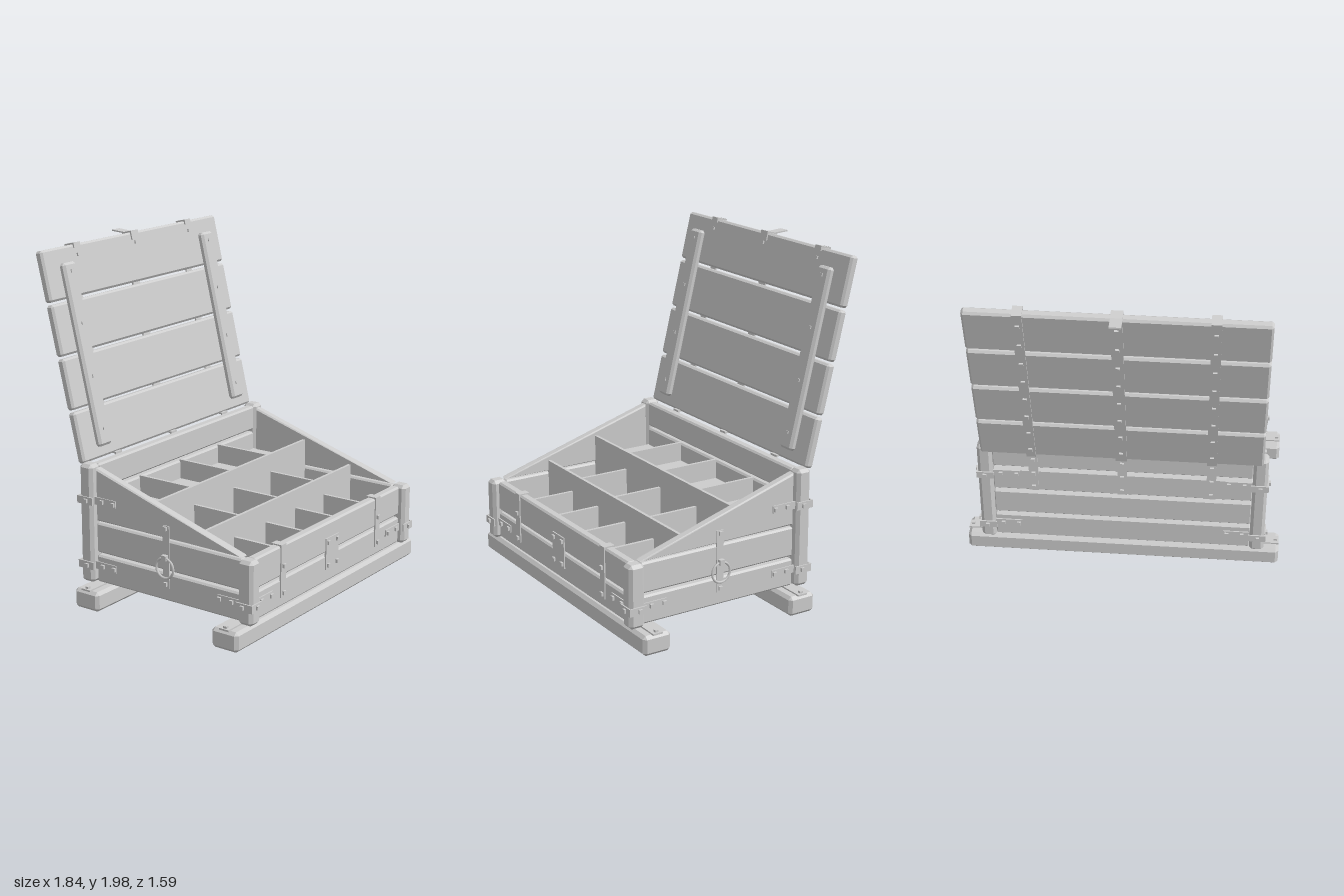
import * as THREE from 'three';
import { ConvexGeometry } from 'three/addons/geometries/ConvexGeometry.js';

const grey = new THREE.MeshStandardMaterial({ color: 0xcccccc });
grey.name = 'plain grey';

function add(parent, name, geometry) {
  const mesh = new THREE.Mesh(geometry, grey);
  mesh.name = name;
  parent.add(mesh);
  return mesh;
}

// Plain box given by its min and max on each axis
function box(parent, name, [x0, x1], [y0, y1], [z0, z1]) {
  const g = new THREE.BoxGeometry(Math.abs(x1 - x0), Math.abs(y1 - y0), Math.abs(z1 - z0));
  return add(parent, name, g.translate((x0 + x1) / 2, (y0 + y1) / 2, (z0 + z1) / 2));
}

// Timber with chamfered edges
function timber(parent, name, [x0, x1], [y0, y1], [z0, z1], c = 0.01) {
  const h = [Math.abs(x1 - x0) / 2, Math.abs(y1 - y0) / 2, Math.abs(z1 - z0) / 2];
  const points = [];
  for (const sx of [-1, 1]) for (const sy of [-1, 1]) for (const sz of [-1, 1])
    for (let axis = 0; axis < 3; axis++) {
      const inset = [c, c, c];
      inset[axis] = 0;
      points.push(new THREE.Vector3(sx * (h[0] - inset[0]), sy * (h[1] - inset[1]), sz * (h[2] - inset[2])));
    }
  const g = new ConvexGeometry(points);
  return add(parent, name, g.translate((x0 + x1) / 2, (y0 + y1) / 2, (z0 + z1) / 2));
}

function bolt(parent, x, y, z, r = 0.011) {
  box(parent, 'bolt', [x - r, x + r], [y - r, y + r], [z - r, z + r]);
}

function buildSkids(root) {
  for (const z of [0.65, -0.3]) {
    timber(root, 'skid', [-0.92, 0.92], [0.005, 0.12], [z - 0.085, z + 0.085], 0.018);
    for (const s of [-1, 1]) {
      box(root, 'skidPlate', [s * 0.76, s * 0.92], [0.118, 0.128], [z - 0.03, z + 0.03]);
      box(root, 'skidBolt', [s * 0.89, s * 0.91], [0.12, 0.14], [z - 0.01, z + 0.01]);
    }
  }
}

function buildCrate(root) {
  // Floor boards
  for (let i = 0; i < 4; i++) {
    const z = -0.36 + i * 0.27;
    timber(root, 'floorBoard', [-0.77, 0.77], [0.125, 0.165], [z, z + 0.262], 0.005);
  }
  // Front and back boards
  for (const y of [[0.135, 0.295], [0.31, 0.485]])
    timber(root, 'frontBoard', [-0.75, 0.75], y, [0.675, 0.73]);
  for (const y of [[0.135, 0.295], [0.31, 0.475], [0.49, 0.645], [0.66, 0.81]])
    timber(root, 'backBoard', [-0.75, 0.75], y, [-0.385, -0.33]);

  for (const s of [-1, 1]) {
    // Side boards with a sloping top board
    for (const y of [[0.135, 0.295], [0.31, 0.485]])
      timber(root, 'sideBoard', [s * 0.745, s * 0.8], y, [-0.315, 0.68]);
    const slope = new THREE.Shape();
    slope.moveTo(0.68, 0.495).lineTo(-0.315, 0.495).lineTo(-0.315, 0.8).closePath();
    const g = new THREE.ExtrudeGeometry(slope, { depth: 0.035, bevelSize: 0.01, bevelOffset: -0.01, bevelThickness: 0.01, bevelSegments: 1 });
    g.rotateY(-Math.PI / 2).translate(s * 0.7725 + 0.0175, 0, 0);
    add(root, 'slopedSideBoard', g);
    // Corner posts
    timber(root, 'frontPost', [s * 0.745, s * 0.83], [0.13, 0.492], [0.67, 0.765], 0.018);
    timber(root, 'backPost', [s * 0.745, s * 0.83], [0.13, 0.82], [-0.41, -0.32], 0.018);
  }
}

function buildDividers(root) {
  const t = 0.009;
  box(root, 'rowDivider', [-0.75, 0.75], [0.15, 0.56], [0.38 - t, 0.38 + t]);
  box(root, 'rowDivider', [-0.75, 0.75], [0.15, 0.66], [0.05 - t, 0.05 + t]);
  box(root, 'raisedTrayFloor', [-0.75, 0.75], [0.52, 0.535], [-0.34, 0.05]);
  for (const x of [-0.38, 0, 0.38]) {
    box(root, 'backDivider', [x - t, x + t], [0.53, 0.65], [-0.335, 0.05]);
    box(root, 'middleDivider', [x - t, x + t], [0.15, 0.55], [0.05, 0.38]);
  }
  for (const x of [-0.455, -0.152, 0.152, 0.455])
    box(root, 'frontDivider', [x - t, x + t], [0.15, 0.45], [0.38, 0.68]);
}

// Iron strap wrapping a corner post and running along both walls
function cornerStrap(root, s, y, front) {
  const d = front ? 1 : -1;
  const wall = front ? 0.732 : -0.387, outer = front ? 0.765 : -0.41;
  const ys = [y - 0.022, y + 0.022];
  box(root, 'cornerStrapFace', [s * 0.737, s * 0.838], ys, [outer, outer + d * 0.008]);
  box(root, 'cornerStrapSide', [s * 0.83, s * 0.838], ys, [outer, outer - d * 0.1]);
  box(root, 'wallStrap', [s * 0.59, s * 0.745], ys, [wall - d * 0.004, wall + d * 0.005]);
  box(root, 'sideStrap', [s * 0.797, s * 0.806], ys, [outer - d * 0.09, outer - d * 0.24]);
  bolt(root, s * 0.79, y, outer + d * 0.008);
  bolt(root, s * 0.7, y, wall + d * 0.006);
  bolt(root, s * 0.61, y, wall + d * 0.006);
  bolt(root, s * 0.838, y, outer - d * 0.055);
  bolt(root, s * 0.808, y, outer - d * 0.145);
  bolt(root, s * 0.808, y, outer - d * 0.225);
}

function buildIronwork(root) {
  for (const s of [-1, 1]) {
    cornerStrap(root, s, 0.235, true);
    cornerStrap(root, s, 0.235, false);
    cornerStrap(root, s, 0.615, false);
    // Latch straps on the front
    const x = s * 0.49;
    box(root, 'latchStrap', [x - 0.024, x + 0.024], [0.19, 0.492], [0.727, 0.737]);
    box(root, 'latchLip', [x - 0.024, x + 0.024], [0.483, 0.492], [0.67, 0.737]);
    for (const y of [0.215, 0.37]) bolt(root, x, y, 0.738);
    // Side strap with a ring handle
    box(root, 'handleStrap', [s * 0.797, s * 0.806], [0.21, 0.57], [0.158, 0.202]);
    for (const y of [0.235, 0.555]) bolt(root, s * 0.808, y, 0.18);
    box(root, 'ringStaple', [s * 0.8, s * 0.83], [0.375, 0.405], [0.165, 0.195]);
    const ring = new THREE.TorusGeometry(0.058, 0.007, 6, 20);
    add(root, 'ringHandle', ring.rotateY(Math.PI / 2).translate(s * 0.816, 0.33, 0.18));
  }
  // Lock plate
  box(root, 'lockPlate', [-0.065, 0.065], [0.21, 0.395], [0.727, 0.737]);
  for (const x of [-0.045, 0.045]) for (const y of [0.235, 0.37]) bolt(root, x, y, 0.738);
  // Hinge straps on the back
  for (const x of [-0.51, 0, 0.51]) {
    box(root, 'hingeStrap', [x - 0.027, x + 0.027], [0.5, 0.815], [-0.392, -0.382]);
    box(root, 'hingeLeaf', [x - 0.027, x + 0.027], [0.808, 0.818], [-0.445, -0.382]);
    for (const y of [0.53, 0.63, 0.73]) bolt(root, x, y, -0.394);
  }
}

function buildLid(root) {
  // Pivot at the lower inner edge, leaning back
  const lid = new THREE.Group();
  lid.name = 'lid';
  lid.position.set(0, 0.815, -0.39);
  lid.rotation.x = -0.236;
  root.add(lid);
  for (let i = 0; i < 4; i++) {
    const y = i * 0.3025;
    timber(lid, 'lidBoard', [-0.8, 0.8], [y, y + 0.288], [-0.052, 0], 0.012);
  }
  for (const s of [-1, 1]) {
    timber(lid, 'lidBatten', [s * 0.582, s * 0.69], [0.065, 1.105], [0, 0.045], 0.014);
    for (const y of [0.16, 0.46, 0.76, 1.055]) bolt(lid, s * 0.635, y, 0.042, 0.009);
  }
  // Straps running up the outside and hooking over the top edge
  for (const x of [-0.51, 0, 0.51]) {
    const w = x === 0 ? 0.032 : 0.027;
    const xs = [x - w, x + w];
    box(lid, 'lidStrap', xs, [0, 1.205], [-0.061, -0.051]);
    box(lid, 'lidStrapTop', xs, [1.195, 1.204], [-0.061, 0.009]);
    box(lid, 'lidStrapHook', xs, [x === 0 ? 1.15 : 1.175, 1.204], [-0.001, 0.008]);
    bolt(lid, x, 1.135, 0, 0.009);
    for (const y of [0.07, 0.22, 0.37, 0.52, 0.67, 0.82, 0.97, 1.12]) bolt(lid, x, y, -0.061);
  }
  // Hasp flange at the top centre
  const hasp = box(lid, 'hasp', [-0.032, 0.032], [-0.004, 0.004], [-0.09, 0]);
  hasp.position.set(0, 1.2, -0.045);
  hasp.rotation.x = 0.3;
}

export function createModel() {
  const root = new THREE.Group();
  root.name = 'openCrate';
  buildSkids(root);
  buildCrate(root);
  buildDividers(root);
  buildIronwork(root);
  buildLid(root);
  return root;
}
